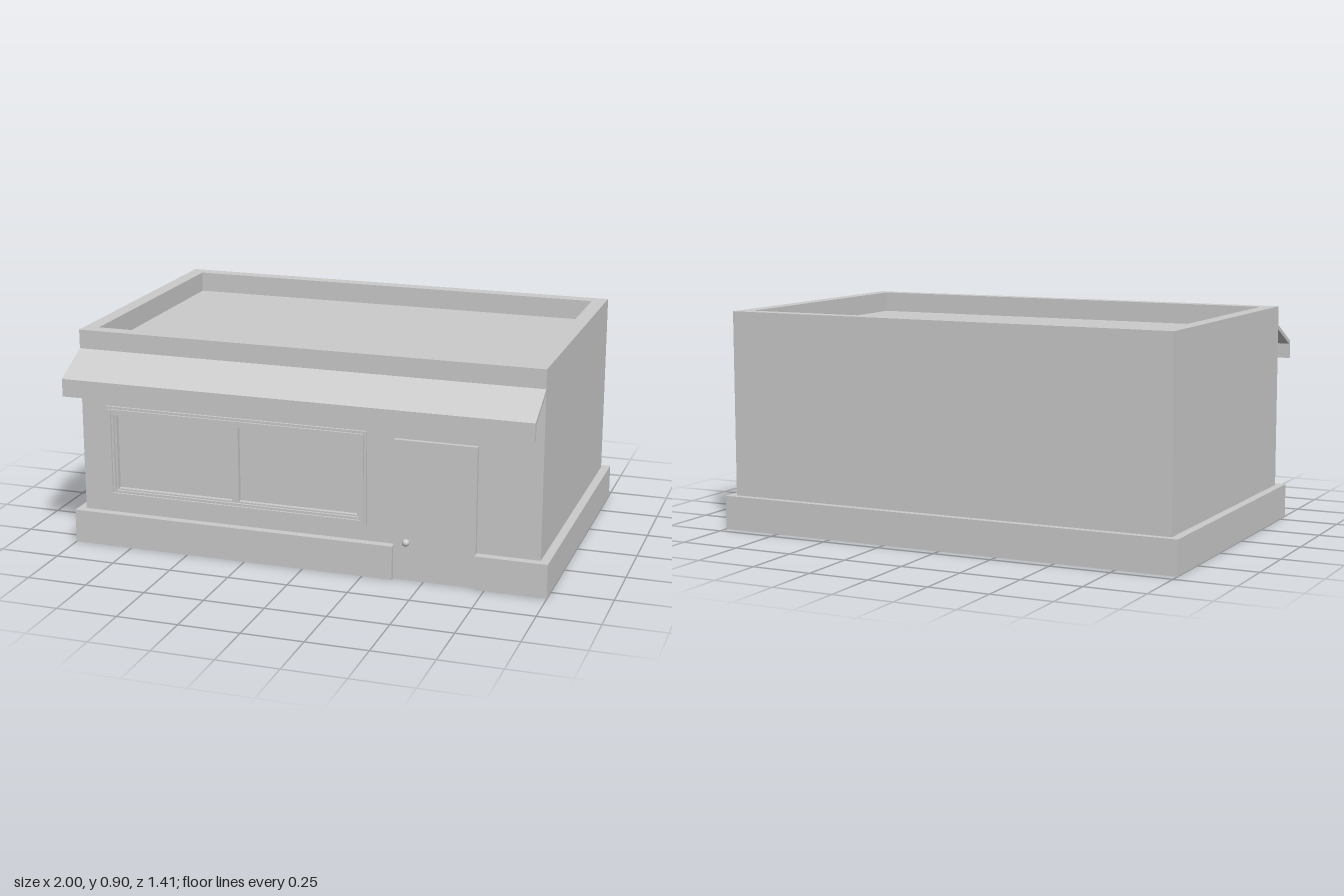
import * as THREE from 'three';

const material = new THREE.MeshStandardMaterial({ color: 0xcccccc, flatShading: true });

export function createModel() {
  const model = new THREE.Group();

  const add = (name, geometry, parent = model) => {
    const mesh = new THREE.Mesh(geometry, material);
    mesh.name = name;
    parent.add(mesh);
    return mesh;
  };

  // Box given by its limits on each axis
  const box = (name, x0, x1, y0, y1, z0, z1, parent) =>
    add(name, new THREE.BoxGeometry(x1 - x0, y1 - y0, z1 - z0), parent)
      .position.set((x0 + x1) / 2, (y0 + y1) / 2, (z0 + z1) / 2);

  const polygon = (points) => new THREE.Shape(points.map(([x, y]) => new THREE.Vector2(x, y)));
  const rect = (x0, x1, y0, y1) => polygon([[x0, y0], [x1, y0], [x1, y1], [x0, y1]]);
  const extrude = (shape, depth, holes = []) => {
    shape.holes.push(...holes);
    return new THREE.ExtrudeGeometry(shape, { depth, bevelEnabled: false });
  };

  // Main body, its front face forming the glass behind the window opening
  box('body', -0.965, 0.965, 0, 0.82, -0.675, 0.515);

  // Raised parapet around the flat roof
  const parapet = extrude(rect(-0.965, 0.965, -0.515, 0.675), 0.085, [rect(-0.905, 0.905, -0.475, 0.615)]);
  add('parapet', parapet.rotateX(-Math.PI / 2).translate(0, 0.82, 0));

  // Front wall with the window opening
  const frontWall = extrude(rect(-0.965, 0.965, 0, 0.905), 0.02, [rect(-0.835, 0.24, 0.225, 0.575)]);
  add('frontWall', frontWall.translate(0, 0, 0.515));

  // Plinth with a notch for the door
  const plinth = extrude(polygon([
    [-1, -0.57], [0.375, -0.57], [0.375, -0.535], [0.71, -0.535],
    [0.71, -0.57], [1, -0.57], [1, 0.705], [-1, 0.705],
  ]), 0.14);
  add('plinth', plinth.rotateX(-Math.PI / 2));

  // Window: stepped outer frame and a sash with two panes
  const windowGroup = new THREE.Group();
  windowGroup.name = 'window';
  model.add(windowGroup);
  [[0, 0.01, 0.545], [0.01, 0.022, 0.553], [0.022, 0.032, 0.545]].forEach(([outer, inner, z]) => {
    const ring = (inset) => rect(-0.855 + inset, 0.26 - inset, 0.205 + inset, 0.595 - inset);
    add('windowFrame', extrude(ring(outer), z - 0.515, [ring(inner)]).translate(0, 0, 0.515), windowGroup);
  });
  const sash = extrude(rect(-0.823, 0.228, 0.237, 0.563), 0.02,
    [rect(-0.815, -0.312, 0.243, 0.557), rect(-0.283, 0.22, 0.243, 0.557)]);
  add('windowSash', sash.translate(0, 0, 0.515), windowGroup);

  // Door and knob
  box('door', 0.375, 0.71, 0, 0.578, 0.515, 0.553);
  const knob = new THREE.Mesh(
    new THREE.SphereGeometry(0.015, 20, 14),
    new THREE.MeshStandardMaterial({ color: 0xcccccc }),
  );
  knob.name = 'doorKnob';
  knob.position.set(0.43, 0.162, 0.566);
  model.add(knob);

  // Sloping awning with a hanging front lip; profile drawn in z and y
  const awning = extrude(polygon([
    [0.53, 0.81], [0.69, 0.732], [0.69, 0.67], [0.705, 0.67], [0.705, 0.743], [0.53, 0.83],
  ]), 1.93);
  add('awning', awning.rotateY(-Math.PI / 2).translate(0.965, 0, 0));

  return model;
}
